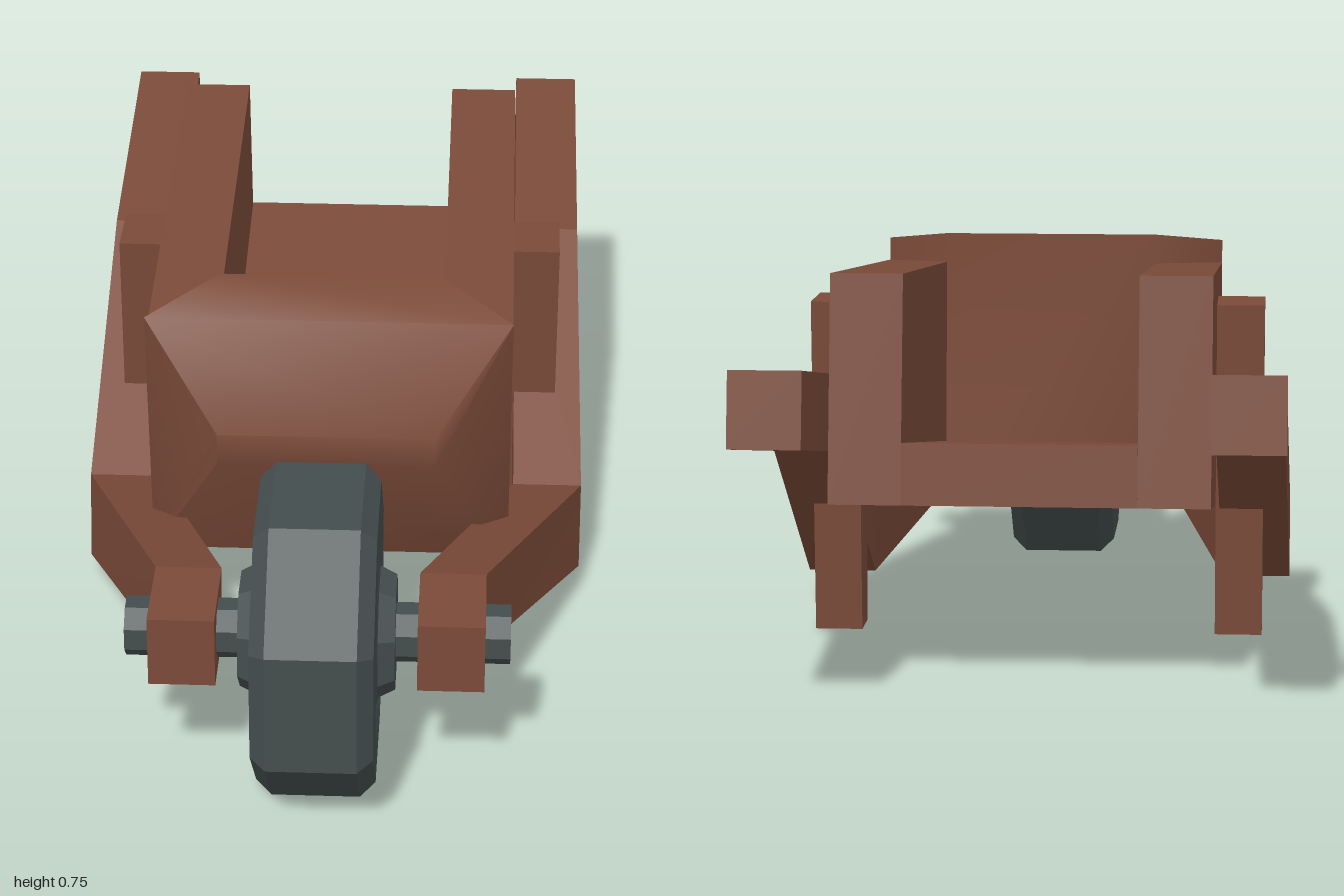
import * as THREE from 'three';
import { toCreasedNormals } from 'three/addons/utils/BufferGeometryUtils.js';

// Quad cross-section: x range, then bottom and top (z, y) points; side = -1 mirrors it
function section([x0, x1, zb, yb, zt, yt], side) {
  const ring = [[x0, yb, zb], [x1, yb, zb], [x1, yt, zt], [x0, yt, zt]];
  return side > 0 ? ring : ring.map(([x, y, z]) => [-x, y, z]).reverse();
}

// Closed beam through sections listed from front to back
function loft(sections, side = 1, crease = 0.15) {
  const rings = sections.map((s) => section(s, side));
  const pos = [];
  const quad = (a, b, c, d) => [a, b, c, a, c, d].forEach((p) => pos.push(...p));
  quad(...rings[0]);
  for (let i = 0; i < rings.length - 1; i++) {
    const a = rings[i], b = rings[i + 1];
    for (let j = 0; j < 4; j++) {
      const k = (j + 1) % 4;
      quad(a[j], b[j], b[k], a[k]);
    }
  }
  quad(...[...rings[rings.length - 1]].reverse());
  const g = new THREE.BufferGeometry();
  g.setAttribute('position', new THREE.Float32BufferAttribute(pos, 3));
  return toCreasedNormals(g, crease);
}

export function createModel() {
  const model = new THREE.Group();
  model.name = 'wheelbarrow';
  const wood = new THREE.MeshStandardMaterial({ color: 0x7a4a38 });
  wood.name = 'brown wood';
  const iron = new THREE.MeshStandardMaterial({ color: 0x444d4e });
  iron.name = 'dark iron';
  const add = (name, geometry, material) => {
    const mesh = new THREE.Mesh(geometry, material);
    mesh.name = name;
    model.add(mesh);
    return mesh;
  };

  // Tray: sloping floor and a front wall that bulges towards the wheel
  add('trayFloor', loft([
    [-0.21, 0.21, 0.27, 0.18, 0.27, 0.3],
    [-0.21, 0.21, -0.7, 0.35, -0.685, 0.46],
  ]), wood);
  add('trayFrontWall', loft([
    [-0.2, 0.2, 0.45, 0.47, 0.45, 0.53],
    [-0.34, 0.34, 0.27, 0.18, 0.335, 0.71],
    [-0.21, 0.21, 0.15, 0.2, 0.2, 0.735],
  ], 1, 0.9), wood);

  for (const side of [1, -1]) {
    const label = side > 0 ? 'left' : 'right';
    // Thick side wall of the tray
    add(label + 'TrayWall', loft([
      [0.21, 0.34, 0.27, 0.18, 0.33, 0.665],
      [0.21, 0.34, -0.7, 0.35, -0.63, 0.755],
    ], side), wood);
    // Bent arm from the axle to the handle
    add(label + 'Arm', loft([
      [0.18, 0.3, 0.81, 0.22, 0.81, 0.355],
      [0.18, 0.3, 0.66, 0.22, 0.63, 0.355],
      [0.35, 0.483, 0.11, 0.06, 0.07, 0.22],
      [0.345, 0.472, -0.44, 0.4, -0.42, 0.54],
      [0.345, 0.472, -1, 0.5, -0.975, 0.632],
    ], side), wood);
    // Leg rising past the arm to brace the tray
    add(label + 'Leg', loft([
      [0.34, 0.43, -0.115, 0.01, -0.09, 0.65],
      [0.34, 0.43, -0.2, 0.01, -0.225, 0.65],
    ], side), wood);
  }

  // Eight-sided wheel with a stepped hub
  const half = [[0, 0.14], [0.105, 0.14], [0.12, 0.11], [0.17, 0.095], [0.21, 0.11], [0.275, 0.108], [0.303, 0.08]];
  const profile = [
    ...half.map(([r, h]) => new THREE.Vector2(r, -h)),
    ...half.map(([r, h]) => new THREE.Vector2(r, h)).reverse(),
  ];
  const wheelGeometry = new THREE.LatheGeometry(profile, 8);
  wheelGeometry.rotateY(Math.PI / 8).rotateZ(Math.PI / 2);
  add('wheel', toCreasedNormals(wheelGeometry, 0.3), iron).position.set(0, 0.285, 0.72);

  // Axle through both arms
  const axleGeometry = new THREE.CylinderGeometry(0.054, 0.054, 0.69, 8);
  axleGeometry.rotateY(Math.PI / 8).rotateZ(Math.PI / 2);
  add('axle', toCreasedNormals(axleGeometry, 0.3), iron).position.set(0, 0.289, 0.725);

  return model;
}
